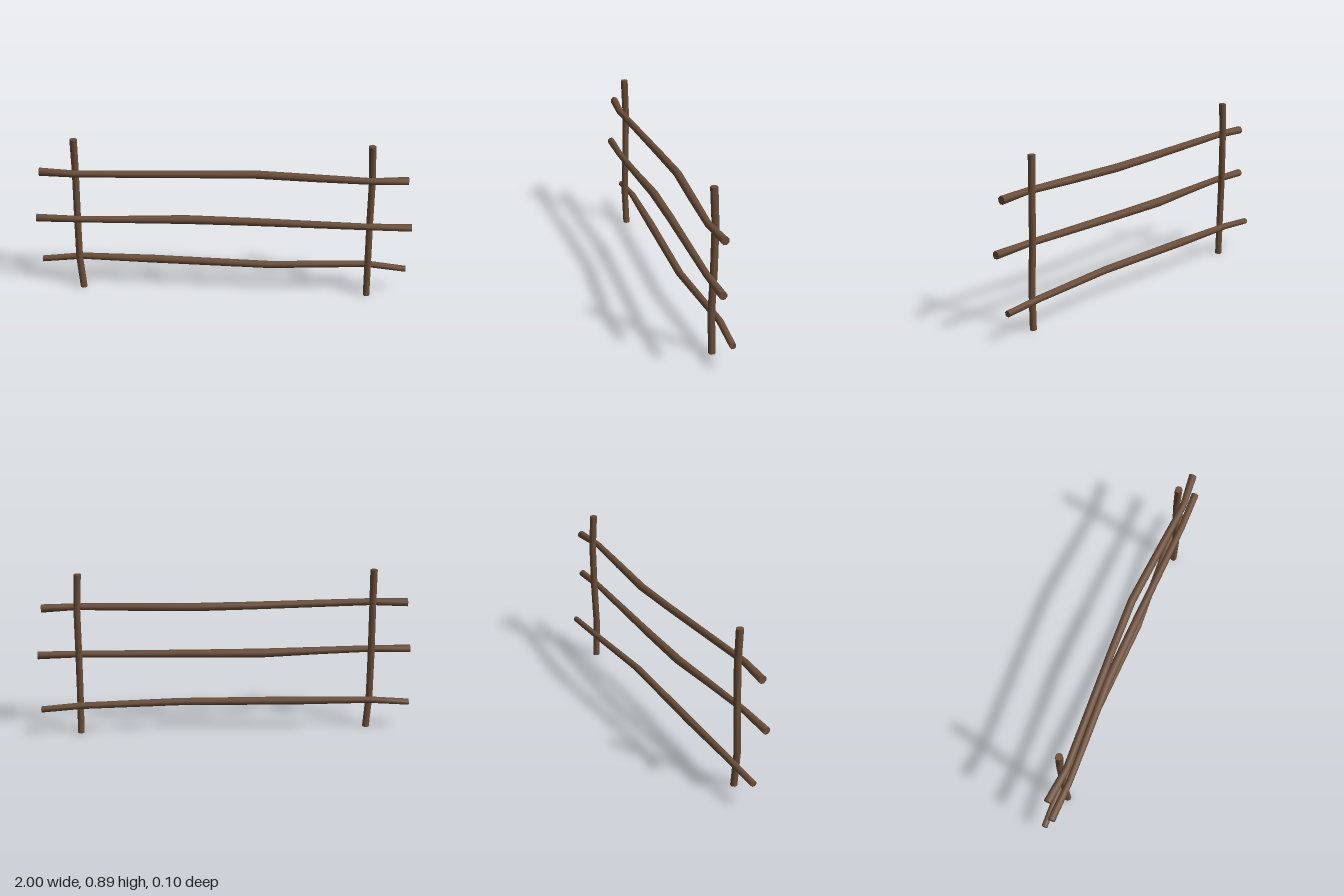
import * as THREE from 'three';
import { toCreasedNormals } from 'three/addons/utils/BufferGeometryUtils.js';

const SIDES = 8;

// Bent log: a loft of round sections [x, y, z, radius] lying across a main axis, capped at both ends
function logGeometry(sections, upright) {
  const u = upright ? new THREE.Vector3(0, 0, 1) : new THREE.Vector3(0, 1, 0);
  const v = upright ? new THREE.Vector3(1, 0, 0) : new THREE.Vector3(0, 0, 1);
  const pos = [], index = [];
  for (const [x, y, z, r] of sections) {
    for (let i = 0; i < SIDES; i++) {
      const a = ((i + 0.5) / SIDES) * Math.PI * 2;
      const p = new THREE.Vector3(x, y, z)
        .addScaledVector(u, Math.cos(a) * r * 1.04)
        .addScaledVector(v, Math.sin(a) * r * 1.04);
      pos.push(p.x, p.y, p.z);
    }
  }
  const last = (sections.length - 1) * SIDES;
  for (let s = 0; s < last; s += SIDES) {
    for (let i = 0; i < SIDES; i++) {
      const a = s + i, b = s + (i + 1) % SIDES;
      index.push(a, b, b + SIDES, a, b + SIDES, a + SIDES);
    }
  }
  for (let i = 1; i < SIDES - 1; i++) {
    index.push(0, i + 1, i, last, last + i, last + i + 1);
  }
  const g = new THREE.BufferGeometry();
  g.setAttribute('position', new THREE.Float32BufferAttribute(pos, 3));
  g.setIndex(index);
  return toCreasedNormals(g, Math.PI / 3);
}

export function createModel() {
  const group = new THREE.Group();
  const wood = new THREE.MeshStandardMaterial({ color: 0x6b4e3a });
  wood.name = 'brown wood';

  const add = (name, sections, upright = false) => {
    const mesh = new THREE.Mesh(logGeometry(sections, upright), wood);
    mesh.name = name;
    group.add(mesh);
  };

  // Upright posts, slightly crooked
  add('leftPost', [
    [0.785, 0, 0.002, 0.018], [0.782, 0.22, 0.008, 0.018], [0.78, 0.45, -0.002, 0.018],
    [0.78, 0.70, -0.006, 0.018], [0.77, 0.895, 0, 0.019],
  ], true);
  add('rightPost', [
    [-0.771, 0, 0.002, 0.018], [-0.785, 0.19, 0.006, 0.018], [-0.784, 0.45, -0.002, 0.018],
    [-0.781, 0.70, -0.006, 0.018], [-0.781, 0.895, 0, 0.019],
  ], true);

  // Rails: top and middle pass in front of the posts, bottom passes behind
  add('topRail', [
    [-0.97, 0.708, 0.012, 0.021], [-0.78, 0.709, 0.03, 0.018], [-0.12, 0.709, -0.003, 0.02],
    [0.17, 0.71, -0.014, 0.021], [0.47, 0.709, 0.008, 0.02], [0.78, 0.709, 0.03, 0.017],
    [0.967, 0.708, 0.012, 0.021],
  ]);
  add('middleRail', [
    [-1, 0.44, 0.028, 0.02], [-0.78, 0.441, 0.034, 0.017], [-0.52, 0.44, 0.022, 0.019],
    [-0.2, 0.439, 0.003, 0.023], [0.13, 0.44, 0.01, 0.021], [0.78, 0.441, 0.034, 0.017],
    [1, 0.44, 0.028, 0.02],
  ]);
  add('bottomRail', [
    [-0.995, 0.152, -0.03, 0.016], [-0.78, 0.172, -0.038, 0.017], [-0.38, 0.172, -0.027, 0.021],
    [0.25, 0.17, -0.004, 0.019], [0.78, 0.172, -0.038, 0.017], [0.99, 0.152, -0.03, 0.016],
  ]);

  return group;
}
